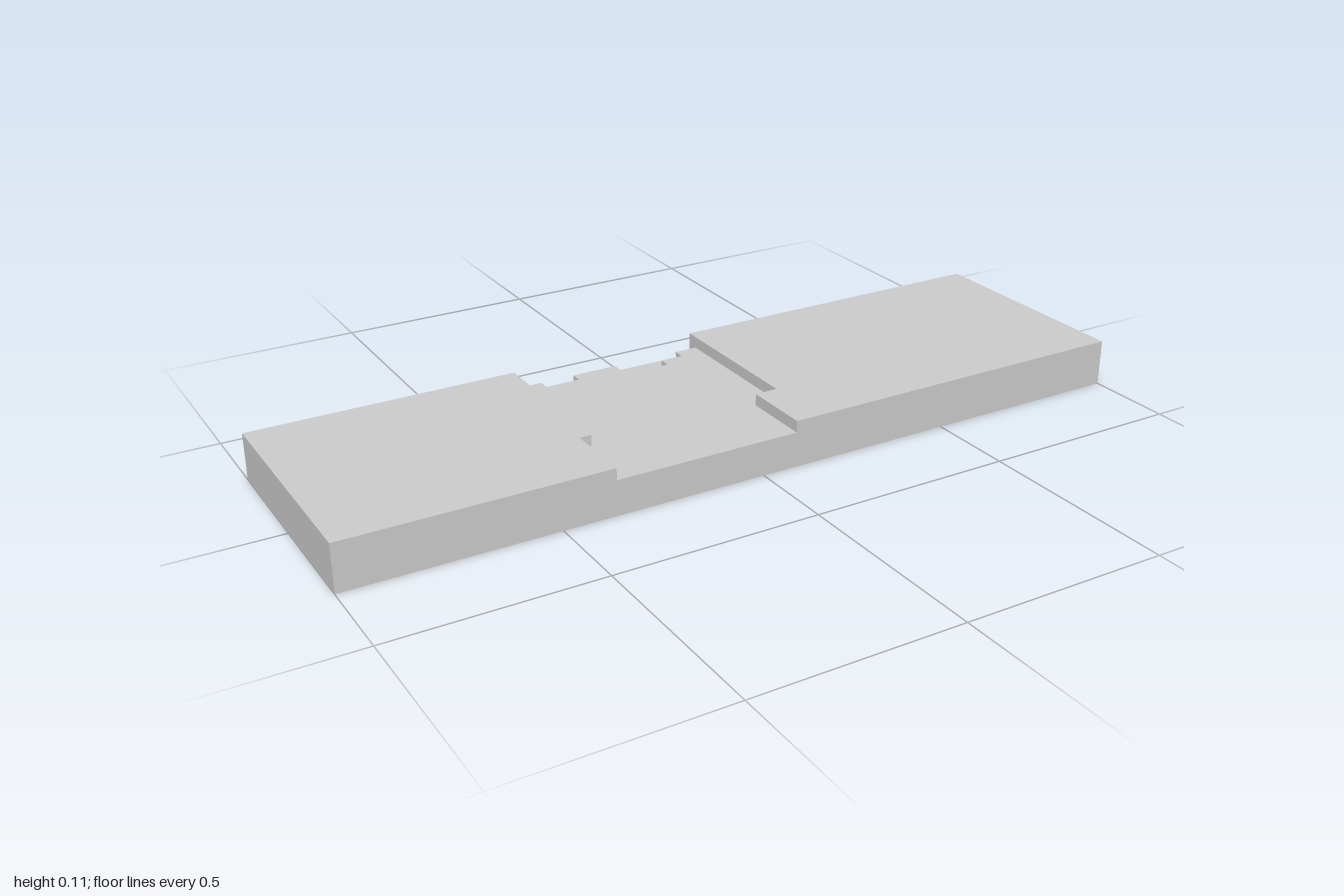
import * as THREE from 'three';

const U = 1 / 35; // one grid cell: the slab is 70 x 4 x 20 cells
const material = new THREE.MeshStandardMaterial({ color: 0xcccccc, flatShading: true });

// Plan points in cells: i runs along x, k runs from the back to the front
const toPlan = ([i, k]) => new THREE.Vector2((i - 35) * U, (10 - k) * U);
const rect = (i0, k0, i1, k1) => [[i0, k0], [i0, k1], [i1, k1], [i1, k0]];

// Extrudes a plan outline upward between two cell heights
function layer(name, outline, y0, y1, holes = []) {
  const shape = new THREE.Shape(outline.map(toPlan));
  for (const hole of holes) shape.holes.push(new THREE.Path(hole.map(toPlan)));
  const geometry = new THREE.ExtrudeGeometry(shape, { depth: (y1 - y0) * U, bevelEnabled: false });
  geometry.rotateX(-Math.PI / 2);
  geometry.translate(0, y0 * U, 0);
  const mesh = new THREE.Mesh(geometry, material);
  mesh.name = name;
  return mesh;
}

// Cuts in the back edge: [start, end, depth]
const backCuts = [
  [2, 5, 1], [6, 10, 1], [15, 19, 1],
  [23, 25, 1], [25, 28, 2], [28, 32, 1], [32, 35, 2], [35, 36, 3], [36, 38, 2], [38, 40, 1],
  [43, 48, 1], [51, 54, 1], [57, 58, 1], [60, 65, 1], [66, 68, 1], [69, 70, 1],
];

// Outline that follows the cuts along the back, then closes around the front
function slottedOutline() {
  const points = [[0, 20], [0, 0]];
  backCuts.forEach(([start, end, depth], n) => {
    const joinsPrevious = n > 0 && backCuts[n - 1][1] === start;
    const joinsNext = n < backCuts.length - 1 && backCuts[n + 1][0] === end;
    if (!joinsPrevious) points.push([start, 0]);
    points.push([start, depth], [end, depth]);
    if (!joinsNext && end < 70) points.push([end, 0]);
  });
  points.push([70, 20]);
  return points;
}

export function createModel() {
  const group = new THREE.Group();
  group.name = 'steppedSlab';

  // Underside with small rectangular pockets
  const pockets = [[5, 7], [18, 19], [61, 63], [67, 69]].map(([a, b]) => rect(a, 1, b, 2));
  group.add(layer('undersideLayer', rect(0, 0, 70, 20), 0, 1, pockets));

  // Solid core
  group.add(layer('coreLayer', rect(0, 0, 70, 20), 1, 2));

  // Layer with the back slots and the jagged ledge
  group.add(layer('slottedLayer', slottedOutline(), 2, 3));

  // Raised plates either side of the sunken channel
  group.add(layer('rightPlate', [[0, 0], [0, 20], [22, 20], [22, 14], [23, 14], [23, 0]], 3, 4));
  group.add(layer('leftPlate', [[40, 0], [40, 14], [38, 14], [38, 20], [70, 20], [70, 0]], 3, 4));

  return group;
}
